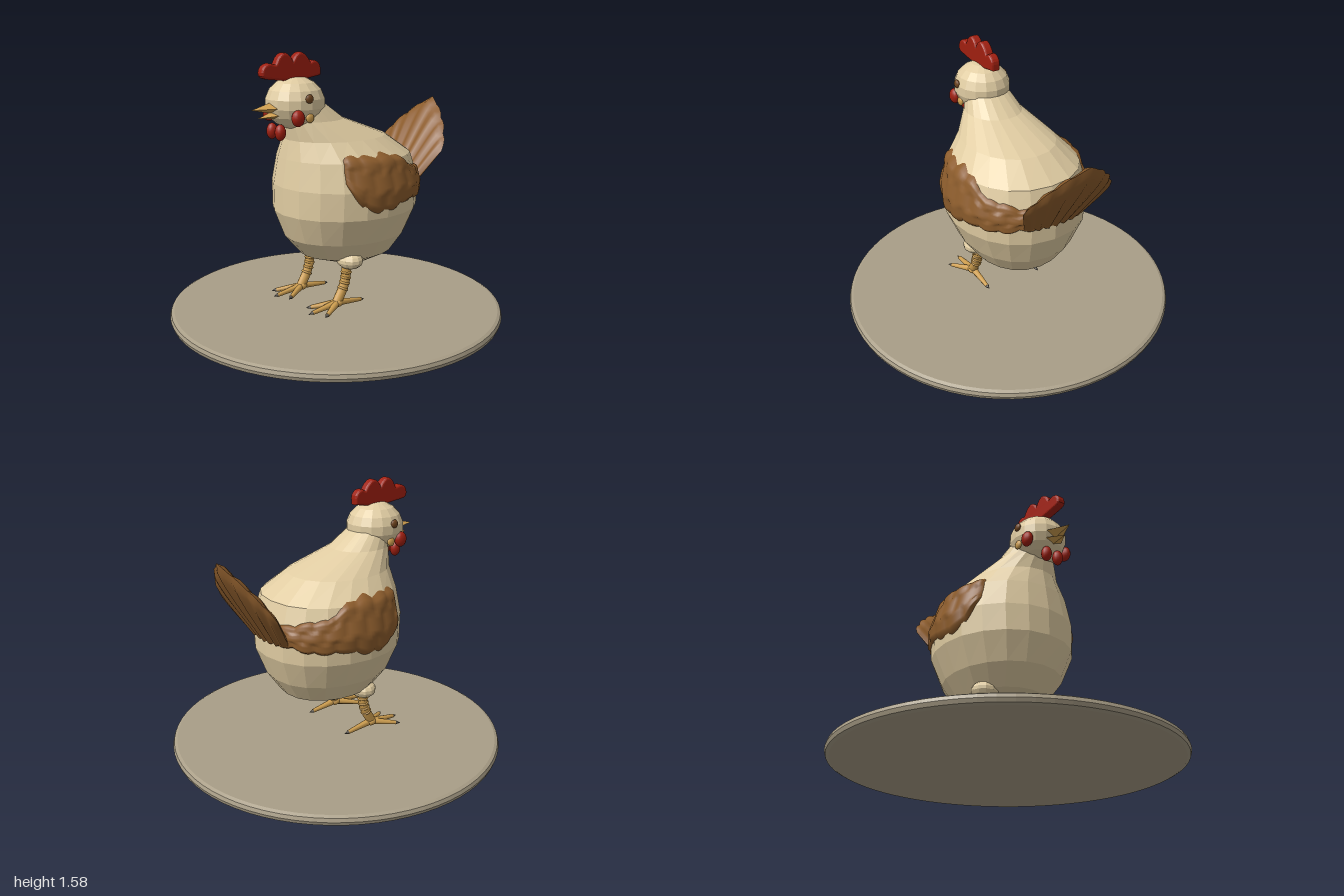
import * as THREE from 'three';

const mat = (name, color) => {
  const m = new THREE.MeshStandardMaterial({ color });
  m.name = name;
  return m;
};

export function createModel() {
  const cream = mat('cream', 0xe0cca2), stone = mat('stone', 0xa99e87), brown = mat('brown', 0x8c5c2c);
  const red = mat('red', 0xa01f10), yellow = mat('yellow', 0xcf9f50), grey = mat('grey', 0x5c564e);
  const eyeBrown = mat('eyeBrown', 0x70451f);
  brown.side = THREE.DoubleSide;

  const hen = new THREE.Group();
  hen.name = 'hen';
  const V = (x, y, z) => new THREE.Vector3(x, y, z);
  const add = (name, geo, material, parent = hen) => {
    const m = new THREE.Mesh(geo, material);
    m.name = name;
    parent.add(m);
    return m;
  };
  const flat = (geo) => {
    const g = geo.index ? geo.toNonIndexed() : geo;
    g.computeVertexNormals();
    return g;
  };
  // Grid surface from a rule fn(u, v) -> Vector3
  const surface = (fn, nu, nv) => {
    const pos = [], idx = [];
    for (let j = 0; j <= nv; j++)
      for (let i = 0; i <= nu; i++) pos.push(...fn(i / nu, j / nv).toArray());
    for (let j = 0; j < nv; j++)
      for (let i = 0; i < nu; i++) {
        const a = j * (nu + 1) + i, b = a + nu + 1;
        idx.push(a, a + 1, b + 1, a, b + 1, b);
      }
    const g = new THREE.BufferGeometry();
    g.setAttribute('position', new THREE.Float32BufferAttribute(pos, 3));
    g.setIndex(idx);
    g.computeVertexNormals();
    return g;
  };
  const ellipsoid = (name, [x, y, z], [rx, ry, rz], material, parent, seg = 14) => {
    const m = add(name, new THREE.SphereGeometry(1, seg, Math.ceil(seg * 0.7)).scale(rx, ry, rz), material, parent);
    m.position.set(x, y, z);
    return m;
  };
  const lerpList = (list, u) => {
    const k = Math.min(Math.floor(u * (list.length - 1)), list.length - 2);
    return THREE.MathUtils.lerp(list[k], list[k + 1], u * (list.length - 1) - k);
  };

  // Round base with soft rim
  const rim = [[0, 0], [0.975, 0], [0.993, 0.009], [1, 0.03], [0.993, 0.051], [0.975, 0.06], [0, 0.06]];
  add('base', flat(new THREE.LatheGeometry(rim.map(p => new THREE.Vector2(...p)), 72)), stone);

  // Body rings: y, front z, back z, half width
  const rings = [
    [0.315, -0.08, -0.08, 0.001], [0.32, 0.03, -0.18, 0.13], [0.385, 0.22, -0.36, 0.25], [0.5, 0.32, -0.44, 0.33],
    [0.66, 0.38, -0.5, 0.4], [0.82, 0.38, -0.505, 0.41], [0.98, 0.355, -0.455, 0.365], [1.09, 0.335, -0.3, 0.265],
    [1.2, 0.35, -0.01, 0.165], [1.29, 0.36, 0.115, 0.125]];
  const bodyPoint = (theta, [y, f, b, w], off = 0) => {
    const s = Math.sin(theta), c = Math.cos(theta);
    const full = Math.sign(s) * Math.pow(Math.abs(s), c < 0 ? 0.88 : 1);
    return V((w + off) * full, y, (f + b) / 2 + ((f - b) / 2 + off) * c);
  };
  const ringAt = (y) => {
    const k = Math.max(1, rings.findIndex(r => r[0] >= y));
    const t = (y - rings[k - 1][0]) / (rings[k][0] - rings[k - 1][0]);
    return rings[k].map((n, i) => THREE.MathUtils.lerp(rings[k - 1][i], n, t));
  };
  add('body', flat(surface((u, v) => {
    const j = Math.round(v * (rings.length - 1));
    return bodyPoint(u * Math.PI * 2, rings[j]);
  }, 20, rings.length - 1)), cream);

  // Head
  const head = new THREE.SphereGeometry(1, 16, 9).scale(0.165, 0.148, 0.175);
  add('head', flat(head), cream).position.set(0, 1.3, 0.29);

  // Comb: scalloped ridge along the head
  const combPts = [[0.14, 1.455], [0.142, 1.495], [0.17, 1.517], [0.2, 1.507], [0.225, 1.54], [0.26, 1.565],
    [0.29, 1.548], [0.315, 1.515], [0.34, 1.548], [0.37, 1.565], [0.4, 1.545], [0.425, 1.505], [0.47, 1.512],
    [0.5, 1.495], [0.503, 1.46], [0.45, 1.448], [0.3, 1.435]];
  const comb = new THREE.Shape();
  comb.moveTo(...combPts[0]);
  comb.splineThru([...combPts.slice(1), combPts[0]].map(p => new THREE.Vector2(...p)));
  add('comb', new THREE.ExtrudeGeometry(comb, {
    depth: 0.03, bevelThickness: 0.013, bevelSize: 0.013, bevelSegments: 3, curveSegments: 3,
  }).translate(0, 0, -0.015).rotateY(-Math.PI / 2), red);

  // Beak halves
  const beak = (name, w, h, len, y, tilt) => {
    const g = new THREE.ConeGeometry(1, len, 4).rotateX(Math.PI / 2).scale(w, h, 1);
    const m = add(name, flat(g), yellow);
    m.position.set(0, y, 0.42 + len / 2);
    m.rotation.x = tilt;
  };
  beak('upperBeak', 0.075, 0.038, 0.16, 1.28, 0.03);
  beak('lowerBeak', 0.065, 0.026, 0.12, 1.236, 0.12);

  // Tail fan: a thin ribbed shell in a slanted plane
  const up = V(0, 0.84, -0.545), out = V(0, 0.545, 0.84);
  add('tail', surface((u, v) => {
    const a = -u * Math.PI * 2, t = Math.cos(a);
    const len = 0.555 * (1 - 0.6 * Math.pow(Math.abs(t), 1.15)) + 0.015 * Math.abs(Math.cos(t * 11));
    const s = v * len;
    const thick = 0.036 * Math.sin(a) * (1 + 0.22 * Math.cos(t * 22)) * Math.sqrt(1 - Math.pow(v, 5));
    return V(t * (0.19 + 0.4 * s), 0.775, -0.475).addScaledVector(up, s).addScaledVector(out, thick);
  }, 72, 12), brown);

  // Wing outline heights from front to back
  const wingTop = [0.99, 1.03, 1.015, 1.03, 1.0, 0.92, 0.91, 0.88, 0.87];
  const wingLow = [0.9, 0.73, 0.69, 0.7, 0.73, 0.73, 0.735, 0.76, 0.76];

  for (const side of [1, -1]) {
    const half = new THREE.Group();
    half.name = side > 0 ? 'leftSide' : 'rightSide';
    half.scale.x = side;
    hen.add(half);

    // Wing hugging the body, with overlapping feather bumps
    add('wing', surface((u, v) => {
      const scallop = 0.014 * Math.abs(Math.sin(u * Math.PI * 7));
      const lo = lerpList(wingLow, u) - scallop, hi = lerpList(wingTop, u) + scallop;
      const y = lo + (hi - lo) * v;
      const edge = Math.min(1, Math.min(v, 1 - v) * 9, Math.min(u, 1 - u) * 24);
      const row = Math.floor(v * 2.99);
      const bump = 0.009 * Math.abs(Math.sin(u * Math.PI * 7 + row * Math.PI / 2));
      return bodyPoint(0.93 + u * 2.02, ringAt(y), -0.015 + edge * (0.023 + bump));
    }, 56, 18), brown, half);

    // Face details
    ellipsoid('eye', [0.159, 1.335, 0.305], [0.014, 0.025, 0.025], eyeBrown, half);
    ellipsoid('earLobe', [0.146, 1.228, 0.293], [0.014, 0.027, 0.026], yellow, half);
    ellipsoid('cheek', [0.142, 1.232, 0.37], [0.03, 0.046, 0.04], red, half);
    ellipsoid('wattle', [0.041, 1.147, 0.42], [0.031, 0.046, 0.032], red, half);

    // Thigh and shank
    const thigh = ellipsoid('thigh', [0.195, 0.38, 0.05], [0.085, 0.055, 0.075], cream, half, 12);
    thigh.geometry = flat(thigh.geometry);
    const shank = new THREE.CatmullRomCurve3([V(0.18, 0.38, 0.07), V(0.18, 0.3, 0.065), V(0.18, 0.22, 0.085), V(0.18, 0.13, 0.135)]);
    add('shank', new THREE.TubeGeometry(shank, 12, 0.029, 10), yellow, half);
    for (const t of [0.32, 0.45, 0.58, 0.71]) {
      const band = add('shankBand', new THREE.TorusGeometry(0.027, 0.007, 6, 14), yellow, half);
      band.position.copy(shank.getPoint(t));
      band.quaternion.setFromUnitVectors(V(0, 0, 1), shank.getTangent(t));
    }
    ellipsoid('ankle', [0.18, 0.13, 0.13], [0.034, 0.027, 0.034], yellow, half);

    // Toes with claws
    for (const [x, z] of [[0.18, 0.31], [0.1, 0.265], [0.26, 0.265], [0.18, -0.045]]) {
      const start = V(0.18, 0.13, 0.13), end = V(x, 0.108, z);
      const dir = end.clone().sub(start), len = dir.length();
      const turn = new THREE.Quaternion().setFromUnitVectors(V(0, 1, 0), dir.normalize());
      const toe = add('toe', new THREE.CylinderGeometry(0.012, 0.022, len, 8), yellow, half);
      toe.position.copy(start).lerp(end, 0.5);
      toe.quaternion.copy(turn);
      const claw = add('claw', new THREE.ConeGeometry(0.012, 0.032, 8), grey, half);
      claw.position.copy(end).addScaledVector(dir, 0.014);
      claw.quaternion.copy(turn);
    }
  }
  return hen;
}
